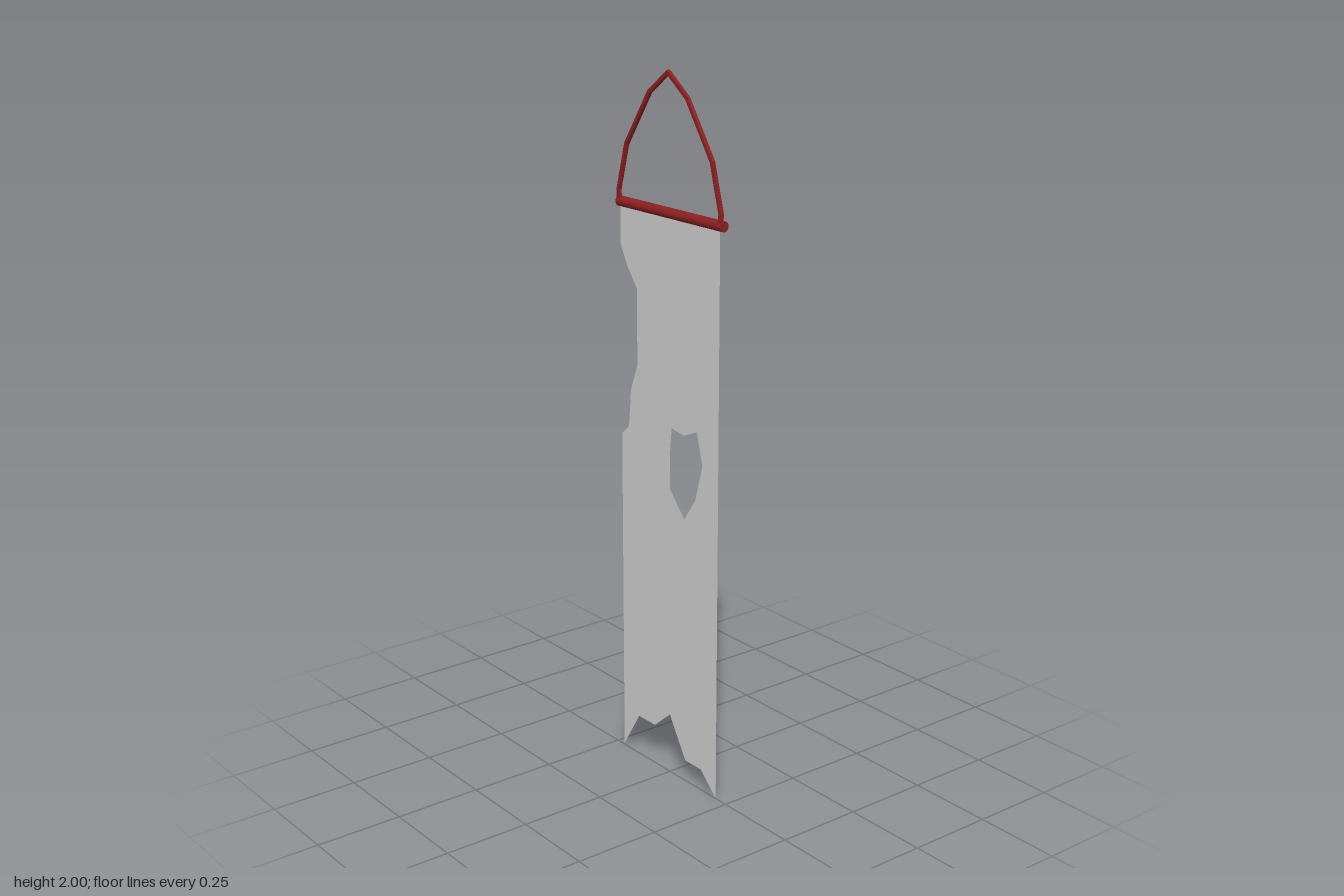
import * as THREE from 'three';

const vec = ([x, y]) => new THREE.Vector2(x, y);

// Outline of a band of constant width following an open polyline, with mitred corners
function bandShape(points, halfWidth) {
  const offset = (side) => points.map((p, i) => {
    const before = points[Math.max(i - 1, 0)];
    const after = points[Math.min(i + 1, points.length - 1)];
    const a = (i > 0 ? p.clone().sub(before) : after.clone().sub(p)).normalize();
    const b = (i < points.length - 1 ? after.clone().sub(p) : p.clone().sub(before)).normalize();
    const normal = new THREE.Vector2(-a.y - b.y, a.x + b.x).normalize();
    const miter = halfWidth / (normal.x * -a.y + normal.y * a.x);
    return p.clone().addScaledVector(normal, side * miter);
  });
  return new THREE.Shape([...offset(1), ...offset(-1).reverse()]);
}

export function createModel() {
  const model = new THREE.Group();
  model.name = 'hangingBanner';
  const grey = new THREE.MeshStandardMaterial({ color: 0xcccccc, side: THREE.DoubleSide });
  const red = new THREE.MeshStandardMaterial({ color: 0x8b2020 });

  const add = (name, geometry, material) => {
    const mesh = new THREE.Mesh(geometry, material);
    mesh.name = name;
    model.add(mesh);
    return mesh;
  };

  // Torn cloth: a flat sheet with a ragged side, a ragged hem and a hole
  const cloth = new THREE.Shape([
    [0.207, 1.63], [-0.217, 1.63], [-0.217, 1.508], [-0.187, 1.45], [-0.145, 1.397],
    [-0.145, 1.18], [-0.175, 1.105], [-0.185, 0.995], [-0.217, 0.968],
    [-0.217, 0.005], [-0.145, 0.12], [-0.07, 0.12], [0, 0.18],
    [0.07, 0.063], [0.14, 0.063], [0.207, 0],
  ].map(vec));
  cloth.holes.push(new THREE.Path([
    [0.007, 1.037], [0.06, 1.03], [0.116, 1.053], [0.14, 0.963],
    [0.11, 0.857], [0.063, 0.79], [0, 0.862], [0, 0.96],
  ].map(vec)));
  add('cloth', new THREE.ShapeGeometry(cloth), grey);

  // Wooden rod across the top
  const rod = add('rod', new THREE.CylinderGeometry(0.0145, 0.0145, 0.444, 12), red);
  rod.rotation.z = Math.PI / 2;
  rod.position.set(0, 1.627, -0.001);

  // Hanging cord: a thin square-section band, mirrored about the peak
  const half = [[0.215, 1.627], [0.216, 1.66], [0.18, 1.788], [0.079, 1.936]];
  const path = [
    ...half.map(([x, y]) => [-x, y]), [0, 1.994], ...half.slice().reverse(),
  ].map(vec);
  const cord = new THREE.ExtrudeGeometry(bandShape(path, 0.005), { depth: 0.01, bevelEnabled: false });
  add('cord', cord, red);

  return model;
}
